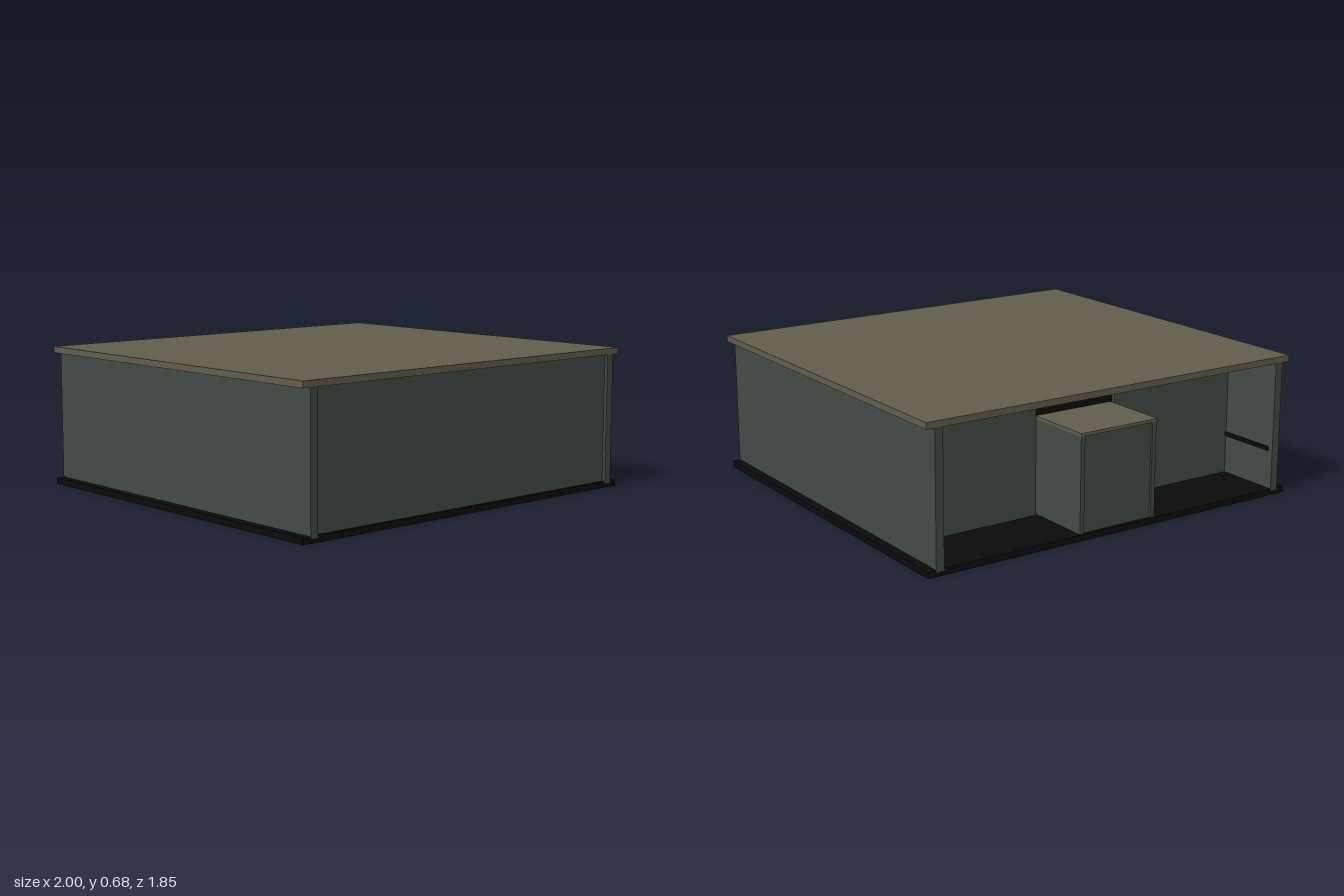
import * as THREE from 'three';

const mat = (name, color) => Object.assign(new THREE.MeshStandardMaterial({ color }), { name });

export function createModel() {
  const wall = mat('grey green wall', 0x414b45);
  const roof = mat('brown roof', 0x625c4b);
  const black = mat('black', 0x0a0a0a);

  const model = new THREE.Group();
  model.name = 'shelter';

  // Box given by its minimum and maximum corners
  function block(parent, name, material, x0, x1, y0, y1, z0, z1) {
    const mesh = new THREE.Mesh(new THREE.BoxGeometry(x1 - x0, y1 - y0, z1 - z0), material);
    mesh.position.set((x0 + x1) / 2, (y0 + y1) / 2, (z0 + z1) / 2);
    mesh.name = name;
    parent.add(mesh);
  }
  // The same box on both sides of x = 0
  function pair(parent, name, material, x0, x1, ...rest) {
    block(parent, name + 'Left', material, x0, x1, ...rest);
    block(parent, name + 'Right', material, -x1, -x0, ...rest);
  }

  // Shell
  block(model, 'floor', black, -1, 1, 0, 0.03, -0.925, 0.925);
  block(model, 'roof', roof, -1, 1, 0.645, 0.675, -0.925, 0.925);
  pair(model, 'sideWall', wall, 0.92, 0.96, 0.02, 0.645, -0.926, 0.926);
  block(model, 'frontWall', wall, -0.92, 0.92, 0.03, 0.645, 0.87, 0.91);

  // Recessed back wall with a dark doorway
  pair(model, 'backWall', wall, 0.222, 0.92, 0.03, 0.645, -0.6, -0.57);
  block(model, 'doorway', black, -0.222, 0.222, 0.03, 0.645, -0.582, -0.574);

  // Dark rails on the inside of the side walls
  pair(model, 'rail', black, 0.912, 0.92, 0.215, 0.235, -0.9, -0.6);

  // Entrance porch in front of the doorway
  const porch = new THREE.Group();
  porch.name = 'porch';
  pair(porch, 'porchSide', wall, 0.188, 0.21, 0.03, 0.48, -0.92, -0.582);
  block(porch, 'porchDoor', wall, -0.188, 0.188, 0.03, 0.48, -0.91, -0.89);
  block(porch, 'porchRoof', roof, -0.212, 0.212, 0.48, 0.495, -0.923, -0.582);
  model.add(porch);

  return model;
}
